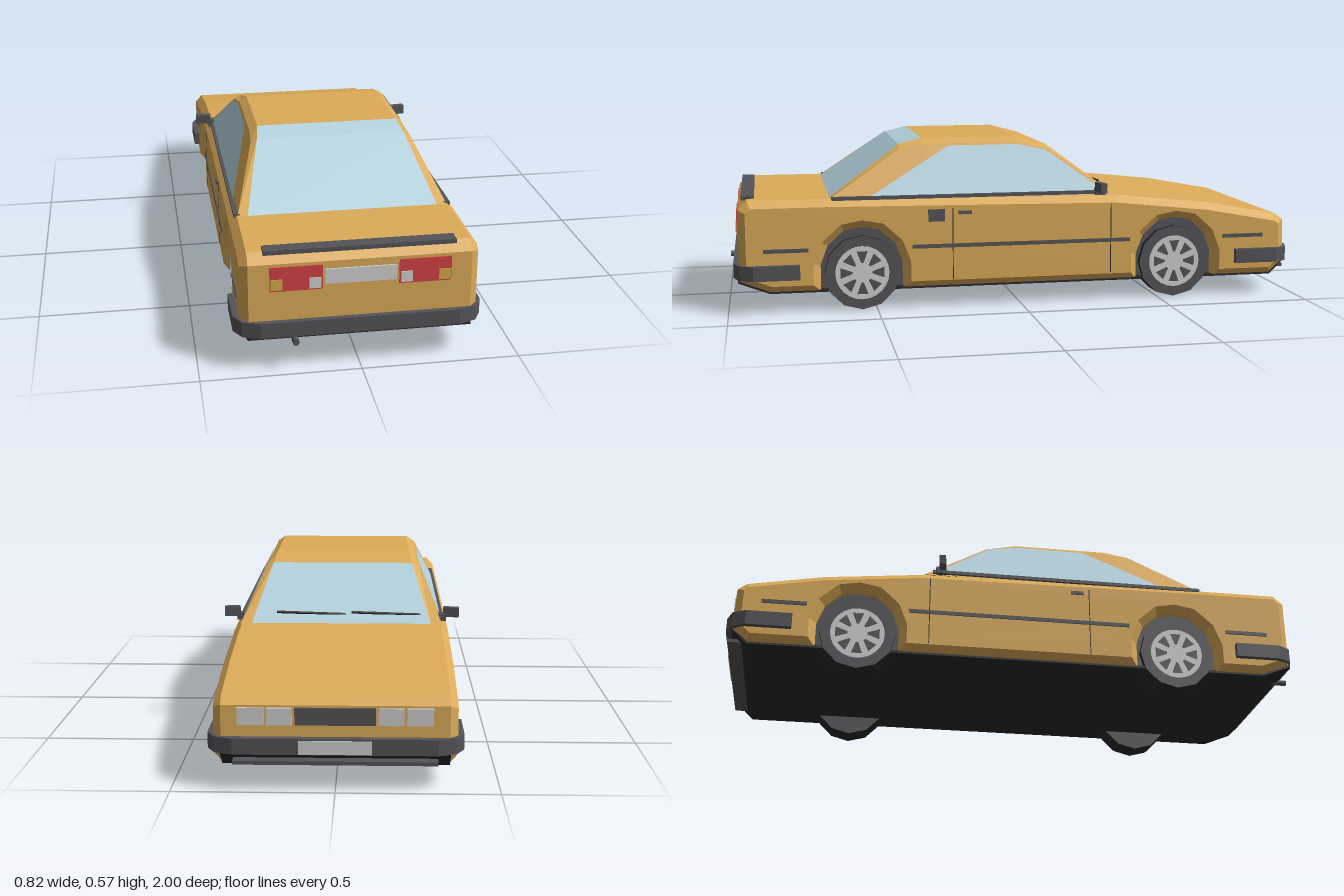
import * as THREE from 'three';

const mat = (name, color, side = THREE.FrontSide) => {
  const m = new THREE.MeshStandardMaterial({ color, side });
  m.name = name;
  return m;
};

export function createModel() {
  const paint = mat('ochre paint', 0xdcab59, THREE.DoubleSide);
  const glass = mat('pale blue glass', 0xb5d3df, THREE.DoubleSide);
  const grey = mat('charcoal plastic', 0x555459);
  const black = mat('black rubber', 0x2a2a2c);
  const silver = mat('silver', 0xd2d2d2);
  const red = mat('red lens', 0xd54246);
  const amber = mat('amber lens', 0xd6a84f);

  const car = new THREE.Group();
  car.name = 'car';
  const add = (name, geo, material, parent = car) => {
    const m = new THREE.Mesh(geo, material);
    m.name = name;
    parent.add(m);
    return m;
  };
  // Box given by its limits on each axis
  const box = (name, material, [x0, x1], [y0, y1], [z0, z1], parent) => {
    const m = add(name, new THREE.BoxGeometry(Math.abs(x1 - x0), y1 - y0, Math.abs(z1 - z0)), material, parent);
    m.position.set((x0 + x1) / 2, (y0 + y1) / 2, (z0 + z1) / 2);
    return m;
  };
  // Side profile of [z, y] points extruded across the car
  const across = (pts, half, bevel = 0) => {
    const shape = new THREE.Shape(pts.map(([z, y]) => new THREE.Vector2(-z, y)));
    const depth = 2 * (half - bevel);
    const g = new THREE.ExtrudeGeometry(shape, {
      depth, bevelEnabled: bevel > 0, bevelSegments: 1,
      bevelSize: bevel, bevelThickness: bevel, bevelOffset: -bevel,
    });
    return g.translate(0, 0, -depth / 2).rotateY(Math.PI / 2);
  };
  // Flat faces from a list of triangles
  const facets = (tris) => {
    const g = new THREE.BufferGeometry().setFromPoints(tris);
    g.computeVertexNormals();
    return g;
  };

  // Lower body with bevelled edges and wheel arches
  const axles = [0.55, -0.56];
  const arch = [[-0.14, 0.07], [-0.14, 0.16], [-0.115, 0.225], [-0.06, 0.275], [0, 0.286],
    [0.06, 0.275], [0.115, 0.225], [0.14, 0.16], [0.14, 0.07]];
  const archAt = (z) => arch.map(([dz, y]) => [z + dz, y]);
  add('body', across([
    [-0.925, 0.07], ...archAt(axles[1]), ...archAt(axles[0]), [0.86, 0.07], [0.962, 0.11],
    [0.962, 0.355], [0.93, 0.385], [0.65, 0.385], [-0.34, 0.372], [-0.68, 0.336],
    [-0.94, 0.288], [-0.97, 0.265], [-0.975, 0.12],
  ], 0.37, 0.025), paint);
  add('underbody', across([
    [-0.98, 0.12], [-0.926, 0.066], [0.861, 0.066], [0.966, 0.107], [0.966, 0.12],
    [0.94, 0.12], [0.85, 0.076], [-0.92, 0.076],
  ], 0.348), black);

  // Cabin: mirrored cross-sections, [z, shoulder y, roof x, roof y]
  const sideX = (y) => 0.345 - (y - 0.38) * 0.45;
  const sections = [
    [0.655, 0.383, 0.31, 0.385], [0.41, 0.543, 0.25, 0.556], [0.33, 0.556, 0.24, 0.575],
    [0, 0.556, 0.24, 0.575], [-0.11, 0.533, 0.25, 0.546], [-0.34, 0.372, 0.31, 0.373],
  ].map(([z, sy, rx, ry]) => {
    const half = [[sideX(0.372), 0.372], [sideX(sy), sy], [rx, ry]];
    return [...half.map(([x, y]) => [-x, y]), ...half.reverse()]
      .map(([x, y]) => new THREE.Vector3(x, y, z));
  });
  const shell = [], rearGlass = [], frontGlass = [];
  for (let i = 0; i < 5; i++) {
    const a = sections[i], b = sections[i + 1];
    for (let j = 0; j < 5; j++) {
      const out = j !== 2 ? shell : i < 2 ? rearGlass : i === 4 ? frontGlass : shell;
      out.push(a[j], a[j + 1], b[j + 1], a[j], b[j + 1], b[j]);
    }
  }
  add('cabin', facets(shell), paint);
  add('rearWindow', facets(rearGlass), glass);
  add('windshield', facets(frontGlass), glass);

  // Parts on both sides
  for (const s of [1, -1]) {
    const side = s > 0 ? 'left' : 'right';
    const pane = [[0.52, 0.388], [0.24, 0.549], [-0.005, 0.55], [-0.105, 0.528], [-0.3, 0.388]]
      .map(([z, y]) => new THREE.Vector3(s * (sideX(y) + 0.004), y, z));
    const tris = [];
    for (let i = 1; i < 4; i++) {
      tris.push(pane[0], ...(s > 0 ? [pane[i + 1], pane[i]] : [pane[i], pane[i + 1]]));
    }
    add(side + 'SideWindow', facets(tris), glass);
    box(side + 'BeltTrim', grey, [s * 0.335, s * 0.355], [0.378, 0.39], [-0.31, 0.65]);
    for (const [z0, z1] of [[0.73, 0.88], [-0.39, 0.38], [-0.885, -0.735]]) {
      box(side + 'RubStrip', grey, [s * 0.365, s * 0.374], [0.209, 0.222], [z0, z1]);
    }
    box(side + 'DoorHandle', grey, [s * 0.365, s * 0.375], [0.323, 0.335], [0.175, 0.22]);
    for (const z of [0.24, -0.32]) {
      box(side + 'DoorSeam', black, [s * 0.367, s * 0.371], [0.1, 0.345], [z - 0.0015, z + 0.0015]);
    }
    const mirror = box(side + 'Mirror', grey, [s * 0.355, s * 0.41], [0.386, 0.42], [-0.29, -0.268]);
    mirror.rotation.y = s * 0.15;
    box(side + 'MirrorStalk', grey, [s * 0.335, s * 0.365], [0.375, 0.398], [-0.3, -0.265]);

    // Lights
    box(side + 'TailLight', red, [s * 0.118, s * 0.28], [0.266, 0.345], [0.96, 0.966]);
    box(side + 'TurnSignal', amber, [s * 0.241, s * 0.278], [0.271, 0.306], [0.962, 0.969]);
    box(side + 'ReverseLight', silver, [s * 0.123, s * 0.159], [0.271, 0.306], [0.962, 0.969]);
    box(side + 'InnerHeadlight', silver, [s * 0.13, s * 0.207], [0.205, 0.258], [-0.979, -0.97]);
    box(side + 'OuterHeadlight', silver, [s * 0.215, s * 0.295], [0.205, 0.258], [-0.979, -0.97]);
  }
  box('fuelFlap', grey, [0.366, 0.373], [0.3, 0.342], [0.268, 0.325]);
  box('grille', grey, [-0.122, 0.122], [0.205, 0.258], [-0.979, -0.97]);
  box('rearPlate', silver, [-0.11, 0.11], [0.281, 0.33], [0.96, 0.967]);
  box('deckSpoiler', grey, [-0.297, 0.297], [0.38, 0.394], [0.905, 0.95]);
  box('chinSpoiler', grey, [-0.31, 0.31], [0.084, 0.096], [-0.99, -0.92]);

  // Wraparound bumpers with chamfered corners
  const bumper = (name, s, tail, end) => {
    const half = [[0.39, tail], [0.39, end - 0.065], [0.365, end - 0.02], [0.31, end]];
    const pts = [...half, ...half.map(([x, z]) => [-x, z]).reverse()];
    const shape = new THREE.Shape(pts.map(([x, z]) => new THREE.Vector2(x, s * z)));
    const g = new THREE.ExtrudeGeometry(shape, { depth: 0.05, bevelEnabled: false });
    add(name, g.rotateX(Math.PI / 2).translate(0, 0.168, 0), grey);
  };
  bumper('rearBumper', 1, 0.76, 0.98);
  bumper('frontBumper', -1, 0.78, 0.997);
  box('frontPlate', silver, [-0.11, 0.11], [0.12, 0.163], [-1, -0.995]);
  const exhaust = add('exhaust', new THREE.CylinderGeometry(0.011, 0.011, 0.14, 6), grey);
  exhaust.rotation.x = Math.PI / 2;
  exhaust.position.set(-0.205, 0.107, 0.93);

  // Wipers resting on the windshield
  for (const x of [-0.155, 0.105]) {
    const wiper = add('wiper', new THREE.BoxGeometry(0.24, 0.006, 0.009), black);
    wiper.position.set(x, 0.402, -0.308);
    wiper.rotation.set(0.64, 0.04, 0.015);
  }

  // Wheels, built along y with the outer face up, then turned sideways
  const tyreGeo = new THREE.CylinderGeometry(0.128, 0.128, 0.085, 12).toNonIndexed();
  tyreGeo.computeVertexNormals();
  const groups = new THREE.CylinderGeometry(0.128, 0.128, 0.085, 12).groups;
  groups.forEach((g) => tyreGeo.addGroup(g.start, g.count, g.materialIndex));
  const rimShape = new THREE.Shape().absarc(0, 0, 0.092, 0, Math.PI * 2);
  for (let i = 0; i < 8; i++) {
    const a = (i * Math.PI) / 4;
    const at = (r, d) => new THREE.Vector2(r * Math.cos(a + d), r * Math.sin(a + d));
    rimShape.holes.push(new THREE.Path([at(0.034, -0.12), at(0.077, -0.25), at(0.077, 0.25), at(0.034, 0.12)]));
  }
  const rimGeo = new THREE.ExtrudeGeometry(rimShape, { depth: 0.004, bevelEnabled: false, curveSegments: 12 });
  rimGeo.rotateX(-Math.PI / 2).translate(0, 0.0425, 0);
  for (const z of axles) {
    box('wheelWell', grey, [-0.33, 0.33], [0.074, 0.287], [z - 0.15, z + 0.15]);
    for (const s of [1, -1]) {
      const wheel = new THREE.Group();
      wheel.name = (z < 0 ? 'noseEnd' : 'tailEnd') + 'Wheel';
      add('tyre', tyreGeo, [black, grey, grey], wheel);
      add('rim', rimGeo, silver, wheel);
      wheel.rotation.z = (-s * Math.PI) / 2;
      wheel.position.set(s * 0.308, 0.128, z);
      car.add(wheel);
    }
  }
  return car;
}
